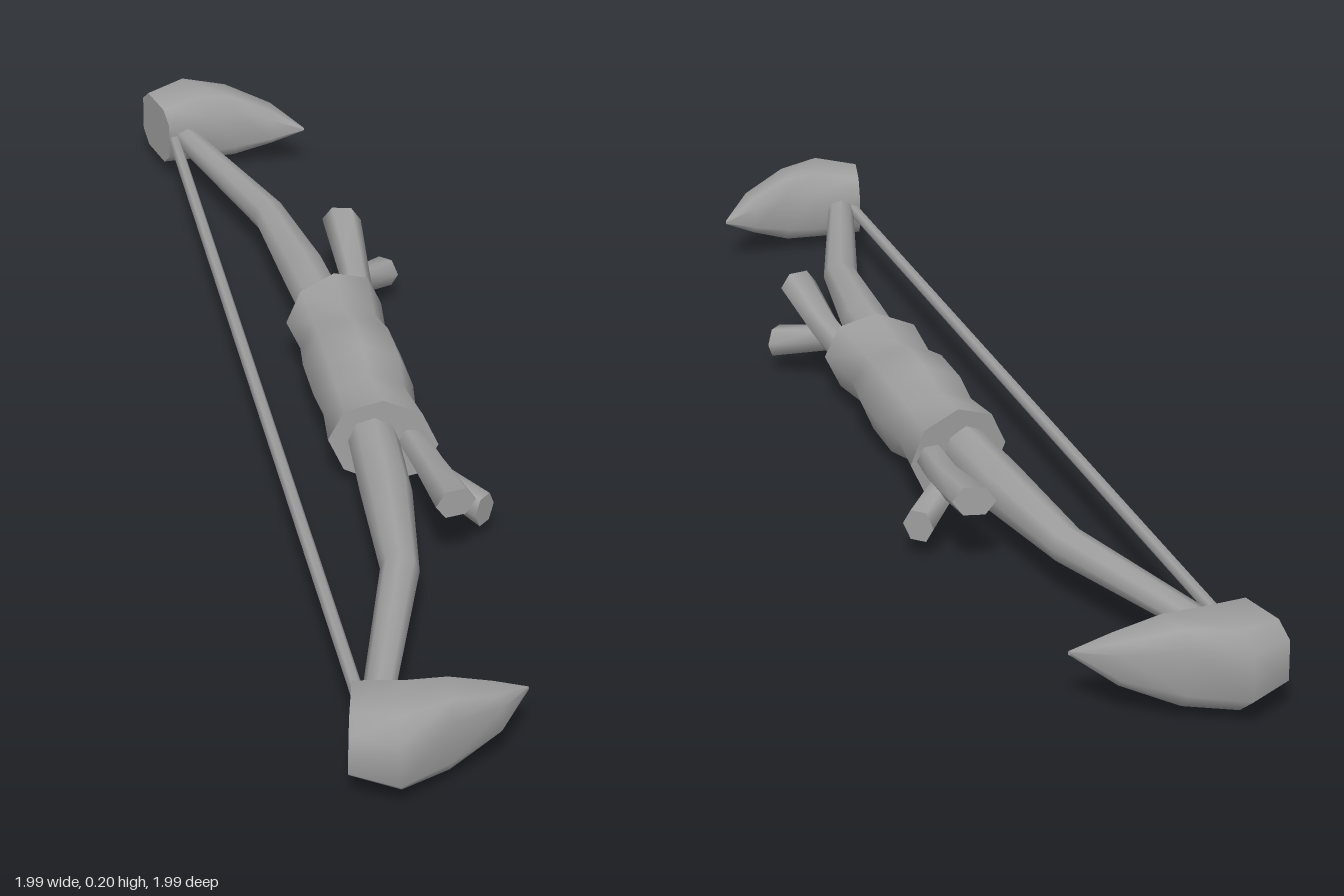
import * as THREE from 'three';

const MID = 0.105; // height of the bow's centre plane

// Lofts a closed body through sections [u1, v1, u2, v2, halfHeight, centreHeight].
// u runs along the bow, v runs from the string towards the bow's back.
// Each section spans (u1, v1) to (u2, v2); side = -1 mirrors it to the other end.
function loft(sections, { side = 1, sides = 8, power = 1, turn = 0 } = {}) {
  const pos = [], index = [];
  const tri = (a, b, c) => (side > 0 ? index.push(a, b, c) : index.push(a, c, b));
  const soft = (x) => Math.sign(x) * Math.abs(x) ** power;
  const ring = ([u1, v1, u2, v2, h, y = MID]) => {
    for (let j = 0; j < sides; j++) {
      const t = ((j + turn) / sides) * Math.PI * 2;
      const k = (1 + soft(Math.cos(t))) / 2;
      pos.push(side * (u1 + (u2 - u1) * k), y + h * soft(Math.sin(t)), -(v1 + (v2 - v1) * k));
    }
  };
  sections.forEach(ring);
  for (let i = 0; i < sections.length - 1; i++) {
    for (let j = 0; j < sides; j++) {
      const a = i * sides + j, b = i * sides + ((j + 1) % sides);
      tri(a, b, a + sides);
      tri(b, b + sides, a + sides);
    }
  }
  // End caps with their own vertices, so the rims stay sharp
  [[sections[0], true], [sections[sections.length - 1], false]].forEach(([s, start]) => {
    const base = pos.length / 3;
    ring(s);
    const c = pos.length / 3;
    pos.push((side * (s[0] + s[2])) / 2, s[5] ?? MID, -(s[1] + s[3]) / 2);
    for (let j = 0; j < sides; j++) {
      const a = base + j, b = base + ((j + 1) % sides);
      start ? tri(c, b, a) : tri(c, a, b);
    }
  });
  const g = new THREE.BufferGeometry();
  g.setAttribute('position', new THREE.Float32BufferAttribute(pos, 3));
  g.setIndex(index);
  g.computeVertexNormals();
  return g;
}

export function createModel() {
  const grey = new THREE.MeshStandardMaterial({ color: 0xa0a0a0 });
  grey.name = 'grey';

  const bow = new THREE.Group();
  bow.name = 'bow';
  const add = (name, geometry) => {
    const mesh = new THREE.Mesh(geometry, grey);
    mesh.name = name;
    bow.add(mesh);
    return mesh;
  };

  // Grip with flared, slanted ends
  add('grip', loft([
    [-0.243, 0.043, -0.295, 0.253, 0.093],
    [-0.13, 0.053, -0.15, 0.237, 0.078],
    [-0.06, 0.046, -0.06, 0.25, 0.1],
    [0.06, 0.046, 0.06, 0.25, 0.1],
    [0.13, 0.053, 0.15, 0.237, 0.078],
    [0.243, 0.043, 0.295, 0.253, 0.093],
  ]));

  for (const side of [-1, 1]) {
    const end = side > 0 ? 'left' : 'right';

    // Curved limb tapering to the tip
    add(end + 'Limb', loft([
      [0.2, 0.085, 0.2, 0.185, 0.055],
      [0.45, 0.068, 0.46, 0.168, 0.05],
      [0.722, 0.054, 0.742, 0.125, 0.036],
      [1.135, -0.06, 1.15, -0.005, 0.024],
    ], { side }));

    // Forked prong: one arm rising, one arm dipping
    add(end + 'UpperProng', loft([
      [0.24, 0.175, 0.24, 0.235, 0.03],
      [0.42, 0.185, 0.41, 0.25, 0.032, 0.12],
      [0.603, 0.183, 0.585, 0.264, 0.032, 0.153],
    ], { side, sides: 6 }));
    add(end + 'LowerProng', loft([
      [0.42, 0.195, 0.375, 0.235, 0.028, 0.105],
      [0.52, 0.279, 0.474, 0.325, 0.034, 0.072],
    ], { side, sides: 6 }));

    // Heavy pointed head at the tip of the limb
    add(end + 'Head', loft([
      [1.3, -0.113, 1.128, -0.074, 0.068],
      [1.345, -0.03, 1.155, 0.02, 0.08],
      [1.292, 0.07, 1.165, 0.085, 0.076],
      [1.234, 0.173, 1.155, 0.165, 0.042],
      [1.152, 0.235, 1.147, 0.238, 0.004],
    ], { side, power: 0.6, turn: 0.5 }));
  }

  // String
  const string = add('string', new THREE.CylinderGeometry(0.013, 0.013, 2.28, 6));
  string.rotation.z = Math.PI / 2;
  string.position.set(0, MID, 0.062);

  // The bow lies flat along the diagonal
  bow.rotation.y = -Math.PI / 4;
  const model = new THREE.Group();
  model.add(bow);
  return model;
}
